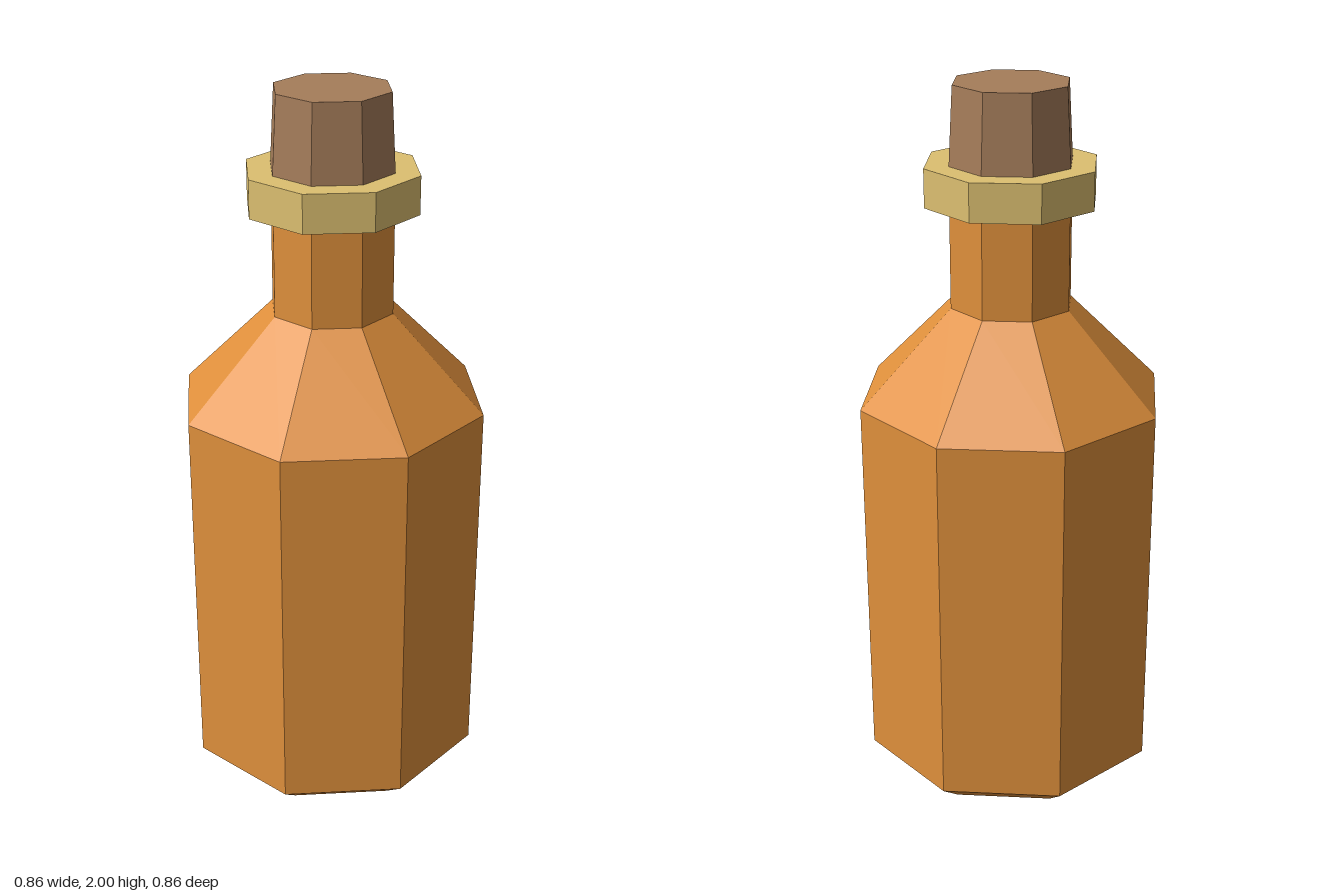
import * as THREE from 'three';

const SIDES = 8;

const material = (name, color) => {
  const m = new THREE.MeshStandardMaterial({ color, flatShading: true });
  m.name = name;
  return m;
};

// Faceted turned part from [radius, height] points, listed bottom to top
function turned(name, profile, mat) {
  const points = profile.map(([r, y]) => new THREE.Vector2(r, y));
  const geometry = new THREE.LatheGeometry(points, SIDES).toNonIndexed();
  geometry.computeVertexNormals();
  const mesh = new THREE.Mesh(geometry, mat);
  mesh.name = name;
  return mesh;
}

export function createModel() {
  const amber = material('amber glass', 0xe0903c);
  const straw = material('straw collar', 0xddc071);
  const cork = material('brown cork', 0xa57d5a);

  const model = new THREE.Group();
  model.name = 'bottle';

  // Bevelled base, straight body, sloping shoulder and neck
  model.add(turned('bottleBody', [
    [0, 0], [0.35, 0], [0.432, 0.067], [0.432, 1.138],
    [0.172, 1.402], [0.172, 1.7],
  ], amber));

  // Ring around the mouth
  model.add(turned('collar', [
    [0.165, 1.685], [0.24, 1.685], [0.24, 1.79], [0.165, 1.79],
  ], straw));

  // Tapered stopper
  model.add(turned('stopper', [
    [0.172, 1.785], [0.16, 2], [0, 2],
  ], cork));

  return model;
}
